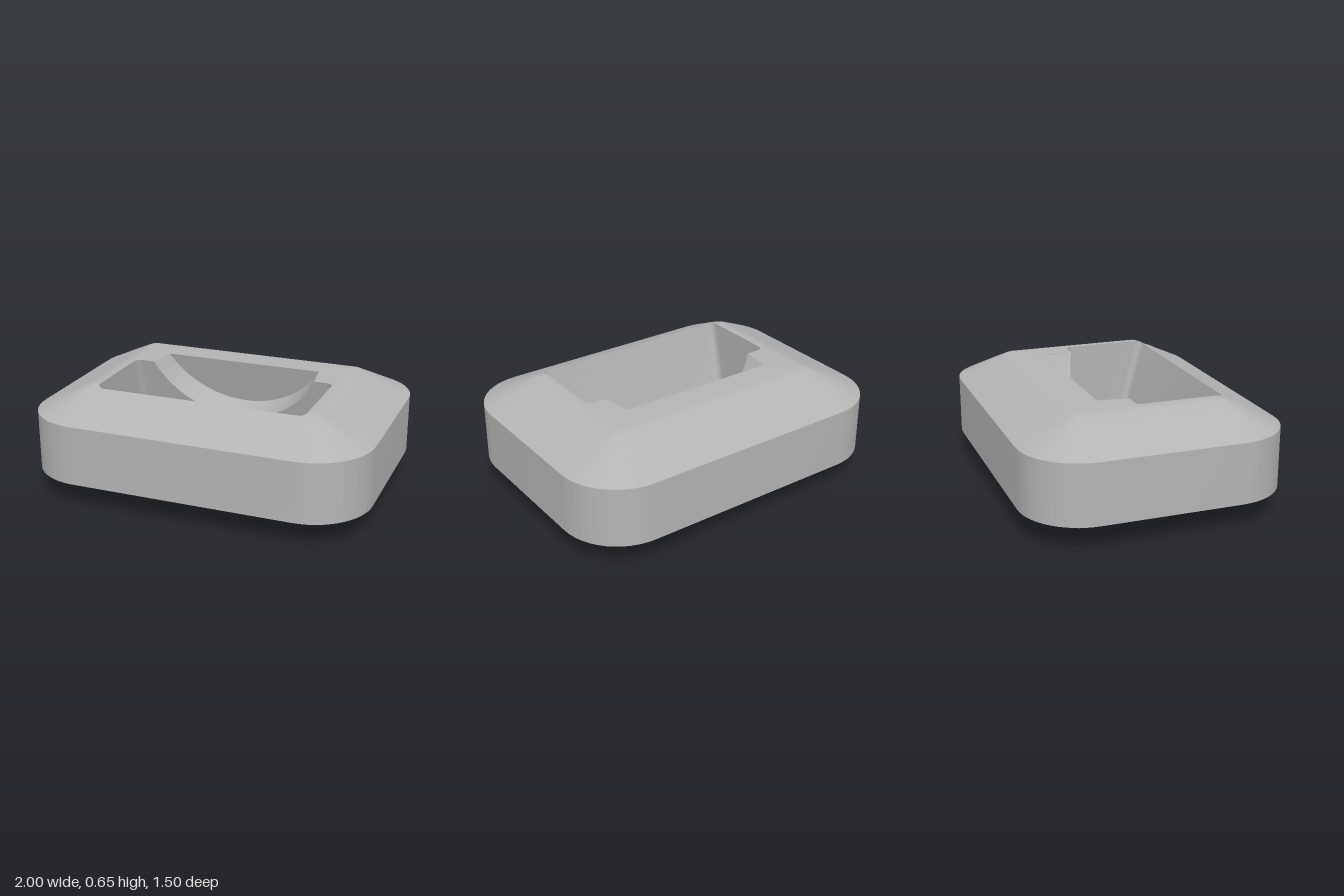
import * as THREE from 'three';
import { toCreasedNormals } from 'three/addons/utils/BufferGeometryUtils.js';

const TILT = THREE.MathUtils.degToRad(15), C = Math.cos(TILT), S = Math.sin(TILT);
const CEIL = 0.22;                       // roof of the underside recess
const FLOOR_Z = 0.28;                    // where the sloping floor meets that roof
const floorY = z => CEIL + (FLOOR_Z - z) * Math.tan(TILT);

// Bevel profile: [inset from the outer outline, height]
const PROFILE = [[0, 0.5], [0.1, 0.547], [0.2, 0.594], [0.29, 0.635], [0.31, 0.643], [0.33, 0.648], [0.349, 0.65]];

function topY(x, z) {
  const inset = 0.35 - Math.hypot(Math.max(Math.abs(x) - 0.65, 0), Math.max(Math.abs(z) - 0.4, 0));
  for (let i = 1; i < PROFILE.length; i++) {
    const [a, ya] = PROFILE[i - 1], [b, yb] = PROFILE[i];
    if (inset <= b) return ya + (yb - ya) * Math.max(0, inset - a) / (b - a);
  }
  return 0.65;
}
const bottomY = (x, z) => 0.65 - topY(x, z);

// Rounded rectangle as [x, z] points, running from +x towards +z
function roundRect(hw, z0, z1, r, n) {
  const pts = [];
  [[hw - r, z1 - r], [r - hw, z1 - r], [r - hw, z0 + r], [hw - r, z0 + r]].forEach(([cx, cz], q) => {
    for (let i = 0; i <= n; i++) {
      const a = (q + i / n) * Math.PI / 2;
      pts.push([cx + r * Math.cos(a), cz + r * Math.sin(a)]);
    }
  });
  return pts;
}

// Skin between successive rings of [x, y, z] points
function loft(rings, closed) {
  const n = rings[0].length, index = [];
  for (let j = 0; j + 1 < rings.length; j++) {
    for (let i = 0; i < (closed ? n : n - 1); i++) {
      const k = (i + 1) % n, a = j * n + i, b = j * n + k, c = b + n, d = a + n;
      index.push(a, b, c, a, c, d);
    }
  }
  const g = new THREE.BufferGeometry();
  g.setAttribute('position', new THREE.Float32BufferAttribute(rings.flat(2), 3));
  g.setIndex(index);
  return toCreasedNormals(g, 0.3);
}

// Flat or sloping plate from an [x, z] outline with holes
function plate(outline, holes, yAt, up) {
  const k = up ? -1 : 1, vec = p => p.map(([x, z]) => new THREE.Vector2(x, k * z));
  const shape = new THREE.Shape(vec(outline));
  holes.forEach(h => shape.holes.push(new THREE.Path(vec(h))));
  const g = new THREE.ShapeGeometry(shape), p = g.attributes.position;
  for (let i = 0; i < p.count; i++) {
    const z = k * p.getY(i);
    p.setXYZ(i, p.getX(i), yAt(z), z);
  }
  g.computeVertexNormals();
  return g;
}

// Distance from the ray centre to a star-shaped outline
const CZ = 0.05;
function rayHit(poly, a) {
  const dx = Math.cos(a), dz = Math.sin(a);
  let best = 0;
  poly.forEach(([x0, z0], i) => {
    const [x1, z1] = poly[(i + 1) % poly.length], ex = x1 - x0, ez = z1 - z0;
    const det = dx * ez - dz * ex;
    if (Math.abs(det) < 1e-9) return;
    const px = x0, pz = z0 - CZ;
    const t = (px * ez - pz * ex) / det, u = (px * dz - pz * dx) / det;
    if (t > 0 && u > -1e-6 && u < 1 + 1e-6) best = Math.max(best, t);
  });
  return best;
}

export function createModel() {
  const group = new THREE.Group();
  const grey = new THREE.MeshStandardMaterial({ color: 0xb4b4b4, side: THREE.DoubleSide });
  grey.name = 'grey plastic';
  const add = (name, geometry) => {
    const mesh = new THREE.Mesh(geometry, grey);
    mesh.name = name;
    group.add(mesh);
  };

  // Outlines of the openings
  const HW = 0.625, BACK = -0.065, N = 6;
  const box = roundRect(HW, BACK, 0.455, 0.04, N), half = 3 * (N + 1);
  const topHole = [...box.slice(0, half), [-0.51, BACK], [-0.485, -0.245], [0.485, -0.245], [0.51, BACK], ...box.slice(half)];
  const NW = 0.16, NZ = -0.69, RZ = -0.5;
  const recess = roundRect(HW, RZ, 0.455, 0.09, N);
  const bottomHole = [...recess.slice(0, half), [-NW, RZ], [-NW, NZ], [NW, NZ], [NW, RZ], ...recess.slice(half)];

  // Outer shell: rings from the top opening, over the sides, to the bottom opening
  const outlines = PROFILE.map(([d]) => roundRect(1 - d, d - 0.75, 0.75 - d, 0.35 - d, 12));
  const angles = [topHole, bottomHole, ...outlines].flat()
    .map(([x, z]) => Math.atan2(z - CZ, x)).sort((a, b) => a - b)
    .filter((a, i, all) => i === 0 || a - all[i - 1] > 1e-5);
  const ring = (hole, outline, yAt) => angles.map(a => {
    const r = Math.max(rayHit(hole, a), outline ? rayHit(outline, a) : 0);
    const x = r * Math.cos(a), z = CZ + r * Math.sin(a);
    return [x, yAt(x, z), z];
  });
  const inward = [...outlines].reverse();
  add('outerShell', loft([
    ring(topHole, null, topY), ...inward.map(o => ring(topHole, o, topY)),
    ...outlines.map(o => ring(bottomHole, o, bottomY)), ring(bottomHole, null, bottomY),
  ], true));

  // Tilted pocket walls, with the back wall cut away by the scoop
  const slide = ([x, y, z], s) => [x, y - C * s, z - S * s];
  const depth = ([, y, z]) => Math.min(C * (y - CEIL) + S * (z - FLOOR_Z), (y - CEIL) / C);
  const D = depth([0, 0.65, BACK]), R = (0.51 ** 2 + D * D) / (2 * D);
  const scoop = x => Math.max(0, Math.sqrt(R * R - x * x) - (R - D));
  const M = 32, us = Array.from({ length: M + 1 }, (_, i) => -1 + 2 * i / M);
  const side = 2 * (N + 1);
  const rim = [[HW, 0.395], ...box.slice(0, side), [-HW, 0.395], ...box.slice(side, half),
    ...us.map(u => [0.51 * u, BACK, true]), ...box.slice(half)]
    .map(([x, z, cut]) => ({ p: [x, topY(x, z), z], s: cut ? scoop(x) : 0 }));
  add('pocketWalls', loft([rim.map(({ p }) => slide(p, depth(p))), rim.map(({ p, s }) => slide(p, s))], true));

  // Curved scoop behind the pocket and its end wall
  const L = 0.174;
  const front = us.map(u => slide([0.51 * u, 0.65, BACK], scoop(0.51 * u)));
  const rear = us.map(u => {
    const [x, y, z] = slide([0.485 * u, 0.65, BACK], scoop(0.485 * u));
    return [x, Math.min(0.65, y + S * L), z - C * L];
  });
  add('scoop', loft([front, rear], false));
  add('scoopEndWall', loft([rear, us.map(u => [0.485 * u, 0.65, -0.245])], false));

  // Sloping floor with the connector slot
  const slot = [[0.157, 0.135], [-0.157, 0.135], [-0.157, 0.035], [0.157, 0.035]];
  add('pocketFloor', plate([[HW, FLOOR_Z], [-HW, FLOOR_Z], [-HW, -0.149], [HW, -0.149]], [slot], floorY, true));
  add('connectorSlot', loft([slot.map(([x, z]) => [x, CEIL, z]), slot.map(([x, z]) => [x, floorY(z), z])], true));

  // Underside recess: walls, roof with the long slit, and the cable notch
  const NY = bottomY(0, NZ);
  const base = ([x, z]) => [x, bottomY(x, z), z];
  const foot = [...recess.slice(0, half).map(base), base([-NW, RZ]), [-NW, NY, RZ], [NW, NY, RZ],
    base([NW, RZ]), ...recess.slice(half).map(base)];
  add('recessWalls', loft([foot, foot.map(([x, , z]) => [x, CEIL, z])], true));
  const slit = [...roundRect(HW - 0.001, FLOOR_Z - 0.1, 0.34, 0.04, N).slice(0, side),
    [0.001 - HW, FLOOR_Z], [HW - 0.001, FLOOR_Z]];
  add('recessRoof', plate(recess, [slot, slit], () => CEIL, false));
  const ry = bottomY(0, RZ), xs = [-NW, -NW, NW, NW];
  add('cableNotch', loft([xs.map(x => [x, NY, NZ]), xs.map((x, i) => [x, i % 3 ? NY : ry, RZ])], false));

  return group;
}
